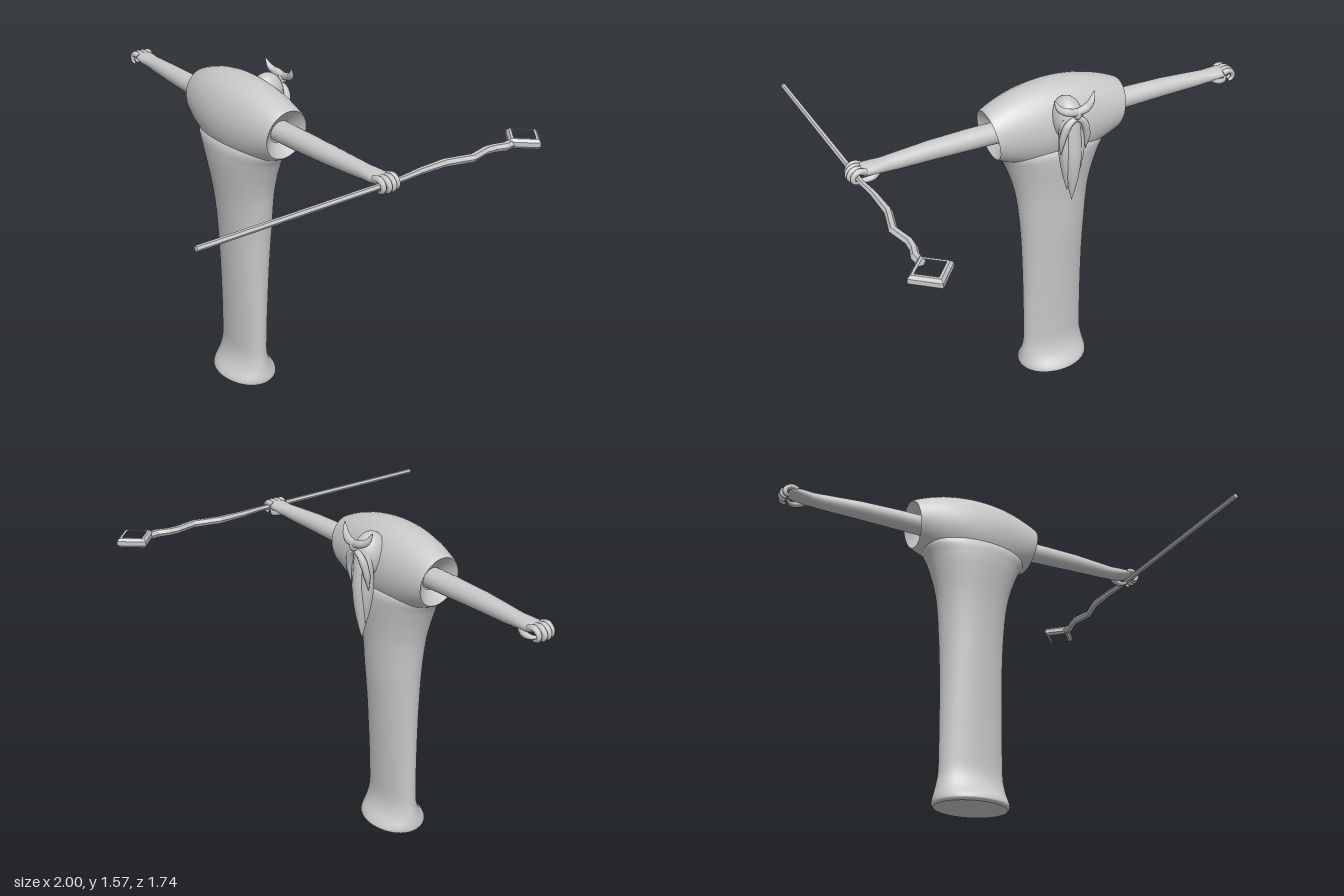
import * as THREE from 'three';

const V = (x, y, z) => new THREE.Vector3(x, y, z);
const CX = -0.033; // the robe's centre line

// Skin a list of equal-length rings and close both ends with separate flat caps
function loft(rings, flat = false) {
  const n = rings[0].length, pos = [], idx = [];
  rings.forEach(r => r.forEach(p => pos.push(p.x, p.y, p.z)));
  for (let i = 0; i < rings.length - 1; i++)
    for (let j = 0; j < n; j++) {
      const k = (j + 1) % n, a = i * n + j, b = i * n + k, c = a + n, d = b + n;
      idx.push(a, c, b, b, c, d);
    }
  [rings[0], rings[rings.length - 1]].forEach((r, e) => {
    const start = pos.length / 3, mid = V(0, 0, 0);
    r.forEach(p => { pos.push(p.x, p.y, p.z); mid.addScaledVector(p, 1 / n); });
    pos.push(mid.x, mid.y, mid.z);
    for (let j = 0; j < n; j++) {
      const a = start + j, b = start + (j + 1) % n, c = start + n;
      e ? idx.push(a, c, b) : idx.push(a, b, c);
    }
  });
  // turn the faces outward if the enclosed volume comes out negative
  const at = i => V(pos[3 * i], pos[3 * i + 1], pos[3 * i + 2]);
  let vol = 0;
  for (let i = 0; i < idx.length; i += 3) vol += at(idx[i]).dot(at(idx[i + 1]).cross(at(idx[i + 2])));
  if (vol < 0) idx.reverse();
  let g = new THREE.BufferGeometry();
  g.setAttribute('position', new THREE.Float32BufferAttribute(pos, 3));
  g.setIndex(idx);
  if (flat) g = g.toNonIndexed();
  g.computeVertexNormals();
  return g;
}

// Closed ring: centre plus two half-axes
function ring(c, u, v, n = 32) {
  return Array.from({ length: n }, (_, i) => {
    const t = i / n * Math.PI * 2;
    return c.clone().addScaledVector(u, Math.cos(t)).addScaledVector(v, Math.sin(t));
  });
}

// Round strand along a path; radii are spread evenly and interpolated
function strand(points, radii, n = 10, steps = 14) {
  const curve = new THREE.CatmullRomCurve3(points), f = curve.computeFrenetFrames(steps);
  const rings = [];
  for (let i = 0; i <= steps; i++) {
    const s = i / steps * (radii.length - 1), k = Math.min(Math.floor(s), radii.length - 2);
    const r = THREE.MathUtils.lerp(radii[k], radii[k + 1], s - k);
    rings.push(ring(curve.getPointAt(i / steps), f.normals[i].clone().multiplyScalar(r), f.binormals[i].clone().multiplyScalar(r), n));
  }
  return loft(rings);
}

export function createModel() {
  const model = new THREE.Group();
  const grey = new THREE.MeshStandardMaterial({ color: 0xc8c8c8 });
  grey.name = 'lightGrey';
  const add = (name, geo, parent = model) => {
    const m = new THREE.Mesh(geo, grey);
    m.name = name;
    parent.add(m);
    return m;
  };

  // Robe: half-width, height, half-depth
  const profile = new THREE.CatmullRomCurve3([
    [0.172, 0, 0.132], [0.18, 0.015, 0.143], [0.168, 0.08, 0.1], [0.157, 0.14, 0.08], [0.154, 0.25, 0.078],
    [0.154, 0.6, 0.094], [0.16, 0.8, 0.108], [0.177, 1.0, 0.123], [0.2, 1.1, 0.135], [0.237, 1.2, 0.147],
    [0.268, 1.26, 0.146], [0.255, 1.29, 0.13], [0.2, 1.33, 0.1],
  ].map(p => V(...p)));
  const robe = profile.getPoints(60).map(p => {
    const cz = 0.013 * THREE.MathUtils.smoothstep(p.y, 0.8, 1.2);
    return ring(V(CX, p.y, cz), V(p.x, 0, 0), V(0, 0, p.z), 48);
  });
  add('robe', loft(robe));

  // Shoulders: a tube across x with slanted openings, turned inward at each end
  const section = (s, shrink = 1, inset = 0) => {
    const q = s * s, top = 1.565 - 0.075 * q, low = 1.17 + 0.085 * q;
    const cy = (top + low) / 2, rz = 0.152 - 0.045 * q, cz = 0.013 * (1 - q);
    return ring(V(0, cy, cz), V(0, (top - low) / 2 * shrink, 0), V(0, 0, rz * shrink), 40).map(p => {
      p.x = CX + s * (0.314 - inset + (p.y - 1.375) * 0.17);
      return p;
    });
  };
  const shoulders = [section(-1, 0.45, 0.05), section(-1, 0.97, 0.002), section(-1, 0.985)];
  for (let i = -20; i <= 20; i++) shoulders.push(section(i / 20.4));
  shoulders.push(section(1, 0.985), section(1, 0.97, 0.002), section(1, 0.45, 0.05));
  add('shoulders', loft(shoulders));

  // Arms and hands: distance from the centre line, height, depth, half-height, half-depth
  const armRows = [
    [0.24, 1.378, 0, 0.048, 0.05], [0.4, 1.38, -0.001, 0.047, 0.048], [0.58, 1.382, -0.004, 0.043, 0.044],
    [0.75, 1.382, -0.012, 0.036, 0.038], [0.81, 1.383, -0.015, 0.031, 0.038], [0.85, 1.385, -0.016, 0.029, 0.044],
    [0.89, 1.388, -0.016, 0.024, 0.046], [0.915, 1.391, -0.016, 0.016, 0.042], [0.925, 1.392, -0.016, 0.006, 0.03],
  ];
  for (const side of [1, -1]) {
    const limb = new THREE.Group();
    limb.name = side > 0 ? 'leftArm' : 'rightArm';
    limb.position.x = CX;
    model.add(limb);
    add('sleevedArm', loft(armRows.map(([x, y, z, h, d]) => ring(V(side * x, y, z), V(0, h, 0), V(0, 0, d), 24))), limb);
    for (let i = 0; i < 4; i++) {
      const z = -0.052 + i * 0.024, out = side * (i === 0 || i === 3 ? -0.008 : 0);
      add('finger', strand([
        V(side * 0.89, 1.395, z), V(side * 0.93 + out, 1.402, z), V(side * 0.955 + out, 1.385, z),
        V(side * 0.955 + out, 1.36, z), V(side * 0.935 + out, 1.35, z),
      ], [0.013, 0.014, 0.012, 0.011, 0.006], 8), limb);
    }
    add('thumb', strand([V(side * 0.83, 1.375, -0.035), V(side * 0.87, 1.36, -0.052), V(side * 0.905, 1.355, -0.045), V(side * 0.925, 1.36, -0.03)],
      [0.014, 0.015, 0.012, 0.006], 8), limb);
  }

  // Stooped head
  const head = add('head', new THREE.SphereGeometry(1, 32, 20));
  head.scale.set(0.068, 0.1, 0.08);
  head.position.set(CX, 1.438, -0.125);

  // Brows sweeping out and up, and the nose between them
  for (const s of [1, -1]) {
    add('brow', strand([V(CX, 1.505, -0.215), V(CX + s * 0.04, 1.512, -0.213), V(CX + s * 0.075, 1.528, -0.2), V(CX + s * 0.098, 1.57, -0.188)],
      [0.017, 0.019, 0.014, 0.002], 8));
    add('moustache', strand([V(CX, 1.47, -0.205), V(CX + s * 0.035, 1.45, -0.205), V(CX + s * 0.06, 1.38, -0.195), V(CX + s * 0.062, 1.3, -0.185)],
      [0.012, 0.018, 0.015, 0.002], 8));
  }
  const nose = add('nose', new THREE.SphereGeometry(1, 14, 10));
  nose.scale.set(0.018, 0.026, 0.022);
  nose.position.set(CX, 1.495, -0.213);

  // Beard: three pointed locks; rows are height fraction, width, depth
  const lock = new THREE.CatmullRomCurve3([
    V(0.5, 0, 0.5), V(0.85, 0.15, 0.75), V(1, 0.45, 1), V(0.8, 0.65, 0.85), V(0.4, 0.85, 0.45), V(0.03, 1, 0.03),
  ]);
  [[0, 1.48, 1.047, 0.042, 0.04, -0.178], [-0.038, 1.46, 1.12, 0.03, 0.032, -0.17], [0.038, 1.46, 1.1, 0.03, 0.032, -0.17]]
    .forEach(([x, top, low, w, d, z]) => add('beardLock', loft(lock.getPoints(24).map(p =>
      ring(V(CX + x * (1 - 0.45 * p.y), top + (low - top) * p.y, z), V(w * p.x, 0, 0), V(0, 0, d * p.z), 16)))));

  // Staff: straight shaft, gnarled toward the head; x, z, radius
  const staff = new THREE.Group();
  staff.name = 'staff';
  model.add(staff);
  const shaft = [
    [0.904, 0.87, 0.012], [0.896, -0.1, 0.013], [0.885, -0.2, 0.015], [0.883, -0.34, 0.018], [0.915, -0.465, 0.018],
    [0.892, -0.565, 0.018], [0.895, -0.61, 0.018], [0.91, -0.66, 0.019], [0.906, -0.7, 0.019],
  ];
  add('staffShaft', loft(shaft.map(([x, z, r]) => ring(V(x, 1.377, z), V(r, 0, 0), V(0, r, 0), 6)), true), staff);

  // Diamond-shaped staff head with an open centre
  const diamond = (Type, r) => new Type([[0, r], [r, 0], [0, -r], [-r, 0]].map(p => new THREE.Vector2(...p)));
  const shape = diamond(THREE.Shape, 0.08);
  shape.holes.push(diamond(THREE.Path, 0.065));
  const headGeo = new THREE.ExtrudeGeometry(shape, { depth: 0.02, bevelEnabled: true, bevelThickness: 0.012, bevelSize: 0.01, bevelSegments: 1 });
  headGeo.translate(0, 0, -0.01).rotateX(-Math.PI / 2).rotateY(0.06);
  const staffHead = add('staffHead', headGeo, staff);
  staffHead.position.set(0.902, 1.38, -0.778);
  return model;
}
